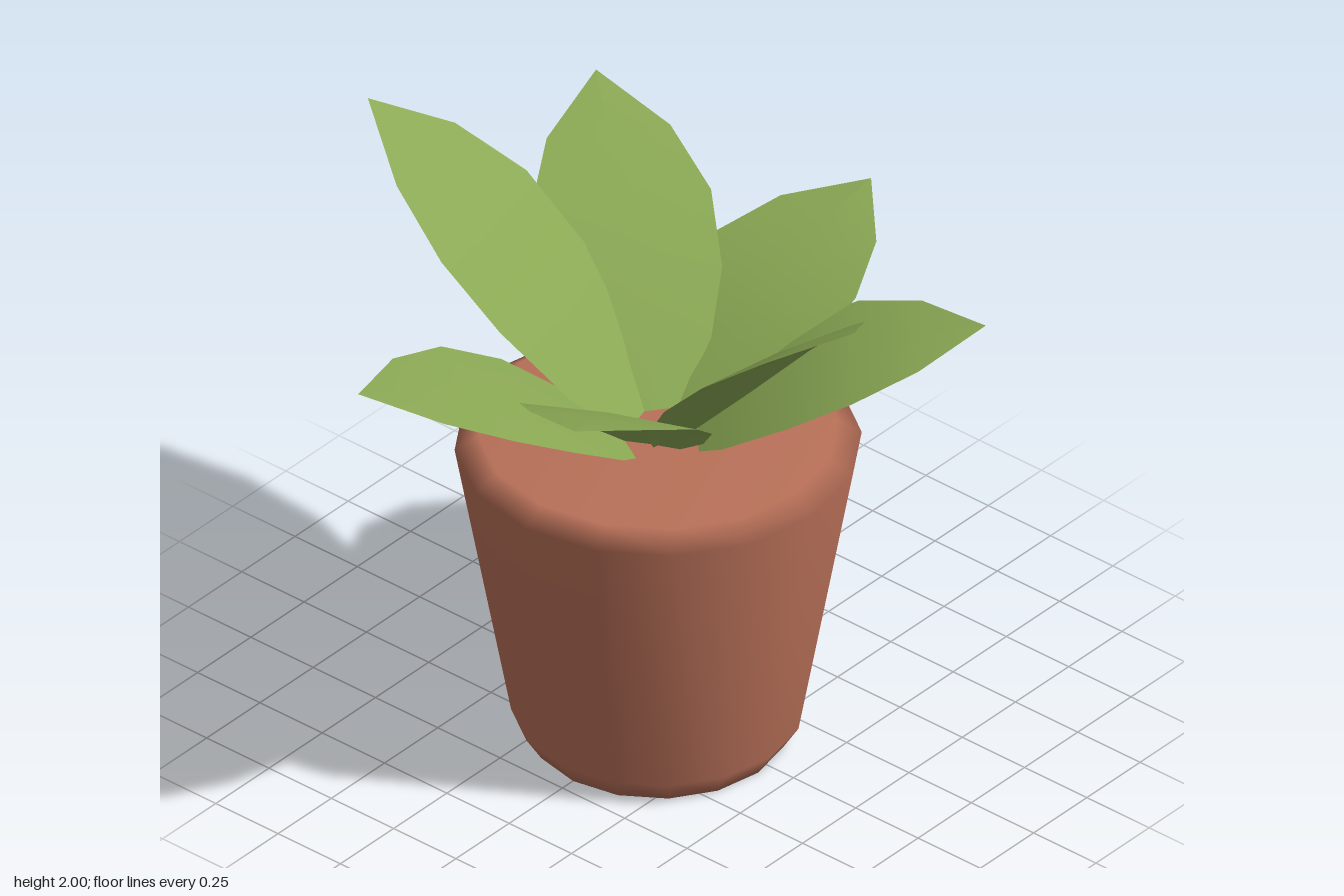
import * as THREE from 'three';

const CENTRE_X = -0.05;
const HALF_WIDTHS = [0, 0.195, 0.276, 0.28, 0.192, 0]; // leaf outline from root to tip

// An arched leaf reaching along +x, nearly flat across with a faint midrib
function leafGeometry(tipHeight) {
  const rows = HALF_WIDTHS.length - 1;
  const geometry = new THREE.PlaneGeometry(2, 1, 2, rows);
  const position = geometry.attributes.position;
  for (let i = 0; i < position.count; i++) {
    const across = position.getX(i);
    const along = position.getY(i) + 0.5;
    const halfWidth = HALF_WIDTHS[Math.round(along * rows)];
    const arch = 0.095 * Math.sin(Math.PI * along);
    const midrib = 0.05 * halfWidth * (1 - Math.abs(across));
    const height = 1 + along * (tipHeight - 1) + arch + midrib;
    position.setXYZ(i, along, height, across * halfWidth);
  }
  geometry.computeVertexNormals();
  return geometry;
}

export function createModel() {
  const model = new THREE.Group();
  model.name = 'pottedPlant';

  const terracotta = new THREE.MeshStandardMaterial({ color: 0xb87058 });
  terracotta.name = 'terracotta';
  const leafGreen = new THREE.MeshStandardMaterial({ color: 0x8aa854, side: THREE.DoubleSide });
  leafGreen.name = 'leafGreen';

  // Solid tapered pot with softened rims
  const profile = [[0, 0], [0.4, 0], [0.45, 0.08], [0.623, 1.05], [0.55, 1.1], [0, 1.1]]
    .map(([r, y]) => new THREE.Vector2(r, y));
  const pot = new THREE.Mesh(new THREE.LatheGeometry(profile, 16), terracotta);
  pot.name = 'pot';
  pot.position.x = CENTRE_X;
  model.add(pot);

  // Ring of seven leaves at three heights
  const leaves = new THREE.Group();
  leaves.name = 'leaves';
  leaves.position.x = CENTRE_X;
  const tipHeights = [1.5, 1.5, 2, 1.75, 1.5, 2, 1.75];
  tipHeights.forEach((height, i) => {
    const leaf = new THREE.Mesh(leafGeometry(height), leafGreen);
    leaf.name = 'leaf' + (i + 1);
    leaf.rotation.y = -i * Math.PI * 2 / tipHeights.length;
    leaves.add(leaf);
  });
  model.add(leaves);

  return model;
}
